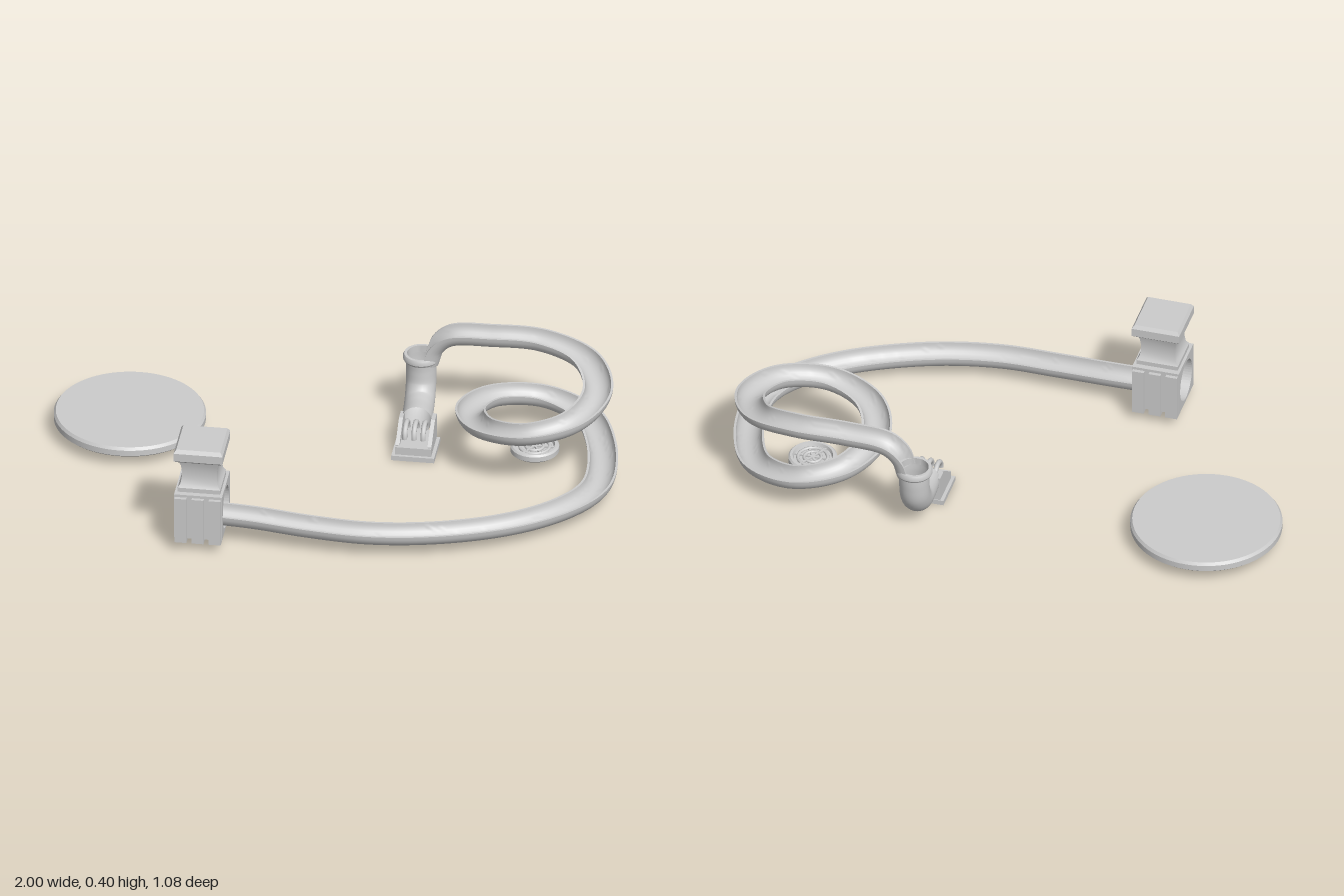
import * as THREE from 'three';
import { toCreasedNormals } from 'three/addons/utils/BufferGeometryUtils.js';

const mat = new THREE.MeshStandardMaterial({ color: 0xcccccc });
const thin = new THREE.MeshStandardMaterial({ color: 0xcccccc, side: THREE.DoubleSide });
const V = (x, y, z) => new THREE.Vector3(x, y, z);

function add(parent, name, geo, x = 0, y = 0, z = 0, material = mat) {
  const m = new THREE.Mesh(geo, material);
  m.name = name;
  m.position.set(x, y, z);
  parent.add(m);
  return m;
}

// Turned part with crisp edges; profile is [radius, height] pairs
function lathe(profile, segments) {
  return new THREE.LatheGeometry(profile.map(p => new THREE.Vector2(...p)), segments);
}
const turned = (profile, segments = 64) => toCreasedNormals(lathe(profile, segments), 0.5);

// Rectangular turned part: four sides, profile in half-widths, scaled along x
function square(profile, sx) {
  const g = lathe(profile.map(([r, y]) => [r * Math.SQRT2, y]), 4);
  g.rotateY(Math.PI / 4).scale(sx, 1, 1);
  return toCreasedNormals(g, 0.5);
}

// Half-pipe section swept along a curve, kept level across its width
function trough(curve, steps, outer, inner, arc = 14) {
  const pos = [], idx = [], n = 2 * (arc + 1);
  for (let i = 0; i <= steps; i++) {
    const p = curve.getPointAt(i / steps), t = curve.getTangentAt(i / steps);
    const side = V(-t.z, 0, t.x).normalize();
    const up = side.clone().cross(t).normalize();
    for (let j = 0; j < n; j++) {
      const back = j > arc, k = back ? n - 1 - j : j;
      const a = Math.PI * (1 + k / arc), r = back ? inner : outer;
      const q = p.clone().addScaledVector(side, r * Math.cos(a)).addScaledVector(up, r * Math.sin(a));
      pos.push(q.x, q.y, q.z);
      if (i < steps) {
        const c = i * n + j, d = i * n + (j + 1) % n;
        idx.push(c, c + n, d, d, c + n, d + n);
      }
    }
  }
  // End faces
  for (let j = 0; j < arc; j++) {
    const a = j, b = j + 1, c = n - 2 - j, d = n - 1 - j, e = steps * n;
    idx.push(a, b, c, a, c, d, e + a, e + c, e + b, e + a, e + d, e + c);
  }
  const g = new THREE.BufferGeometry();
  g.setAttribute('position', new THREE.Float32BufferAttribute(pos, 3));
  g.setIndex(idx);
  return toCreasedNormals(g, 0.6);
}

// Slab facing x with a round hole; y is measured from the hole centre
function holedSlab(halfZ, bottom, top, hole, width) {
  const s = new THREE.Shape([[-halfZ, bottom], [halfZ, bottom], [halfZ, top], [-halfZ, top]]
    .map(p => new THREE.Vector2(...p)));
  s.holes.push(new THREE.Path().absarc(0, 0, hole, 0, Math.PI * 2, true));
  const g = new THREE.ExtrudeGeometry(s, { depth: width, bevelEnabled: false, curveSegments: 24 });
  return g.translate(0, 0, -width / 2).rotateY(Math.PI / 2);
}

function createTrack() {
  const pts = [V(0.262, 0.24, -0.48), V(0.285, 0.305, -0.48), V(0.345, 0.355, -0.48),
    V(0.5, 0.368, -0.48)];
  // One full descending turn
  const heights = [0.365, 0.338, 0.302, 0.273, 0.248, 0.224, 0.198, 0.17, 0.142];
  heights.forEach((y, i) => {
    const a = i * Math.PI / 4;
    pts.push(V(0.68 + 0.222 * Math.sin(a), y, -0.255 - 0.222 * Math.cos(a)));
  });
  // Long outer sweep
  pts.push(V(0.835, 0.118, -0.41), V(0.917, 0.1, -0.24), V(0.943, 0.088, -0.03),
    V(0.918, 0.086, 0.07), V(0.85, 0.085, 0.168), V(0.74, 0.085, 0.265), V(0.6, 0.086, 0.345),
    V(0.4, 0.09, 0.418), V(0.2, 0.094, 0.452), V(0, 0.1, 0.448), V(-0.2, 0.111, 0.434),
    V(-0.34, 0.116, 0.43));
  return trough(new THREE.CatmullRomCurve3(pts, false, 'centripetal'), 240, 0.053, 0.045);
}

function createTower() {
  const g = new THREE.Group();
  g.name = 'tower';
  g.position.set(-0.383, 0, 0.432);
  add(g, 'towerCore', holedSlab(0.093, -0.083, 0.09, 0.075, 0.168), 0, 0.13);
  for (const x of [-0.06, 0, 0.06])
    add(g, 'towerRib', holedSlab(0.106, -0.095, 0.08, 0.0755, 0.042), x, 0.13);
  add(g, 'towerNeck', square([[0.073, 0.215], [0.073, 0.236], [0.064, 0.25], [0.06, 0.275],
    [0.06, 0.295], [0.063, 0.32], [0.072, 0.348]], 1.02));
  add(g, 'towerCap', square([[0, 0.345], [0.084, 0.345], [0.093, 0.353], [0.093, 0.383],
    [0.084, 0.396], [0, 0.396]], 0.92));
  return g;
}

function createPipe() {
  const g = new THREE.Group();
  g.name = 'dropPipe';
  const path = new THREE.CatmullRomCurve3([V(0.252, 0.25, -0.48), V(0.252, 0.2, -0.48),
    V(0.252, 0.145, -0.47), V(0.253, 0.103, -0.435), V(0.256, 0.09, -0.38), V(0.26, 0.09, -0.31)]);
  add(g, 'pipeElbow', new THREE.TubeGeometry(path, 32, 0.053, 28), 0, 0, 0, thin);
  add(g, 'pipeCollar', turned([[0.05, 0.236], [0.06, 0.236], [0.064, 0.243], [0.064, 0.254],
    [0.06, 0.262], [0.05, 0.262], [0.05, 0.236]], 32), 0.252, 0, -0.48);
  return g;
}

function createCatcher() {
  const g = new THREE.Group();
  g.name = 'catcher';
  g.position.set(0.265, 0, -0.255);
  add(g, 'basePlate', new THREE.BoxGeometry(0.15, 0.018, 0.15), 0, 0.009, 0);
  add(g, 'body', new THREE.BoxGeometry(0.126, 0.03, 0.136), 0, 0.032, -0.004);
  // Sloped cheeks
  const cheek = new THREE.Shape([[0.075, 0.045], [0.075, 0.112], [0.03, 0.112], [-0.055, 0.05],
    [-0.055, 0.045]].map(p => new THREE.Vector2(...p)));
  const cheekGeo = new THREE.ExtrudeGeometry(cheek, { depth: 0.014, bevelEnabled: false });
  cheekGeo.translate(0, 0, -0.007).rotateY(Math.PI / 2);
  for (const s of [-1, 1]) add(g, 'cheek', cheekGeo, s * 0.056, 0, 0);
  // Curved fingers over the pipe mouth
  const finger = new THREE.TorusGeometry(0.042, 0.009, 10, 24, Math.PI).rotateY(Math.PI / 2);
  for (const x of [-0.032, 0, 0.032]) add(g, 'finger', finger, x, 0.072, 0.004);
  return g;
}

function createDrain() {
  const g = new THREE.Group();
  g.name = 'drain';
  g.position.set(0.682, 0.033, -0.255);
  add(g, 'drainRing', turned([[0, 0], [0.075, 0], [0.085, 0.008], [0.085, 0.026], [0.079, 0.032],
    [0.07, 0.032], [0.066, 0.02], [0, 0.02]], 40));
  for (const r of [0.03, 0.052])
    add(g, 'grateRing', new THREE.TorusGeometry(r, 0.006, 8, 32).rotateX(Math.PI / 2), 0, 0.022, 0);
  for (let i = 0; i < 3; i++)
    add(g, 'grateBar', new THREE.BoxGeometry(0.13, 0.008, 0.007), 0, 0.022, 0).rotation.y = i * Math.PI / 3;
  return g;
}

export function createModel() {
  const model = new THREE.Group();
  model.name = 'slideTrack';
  add(model, 'track', createTrack(), 0, 0, 0, thin);
  add(model, 'roundPad', turned([[0, 0.043], [0.257, 0.043], [0.264, 0.049], [0.264, 0.07],
    [0.257, 0.08], [0, 0.08]], 72), -0.736, 0, -0.255);
  model.add(createTower(), createPipe(), createCatcher(), createDrain());
  return model;
}
